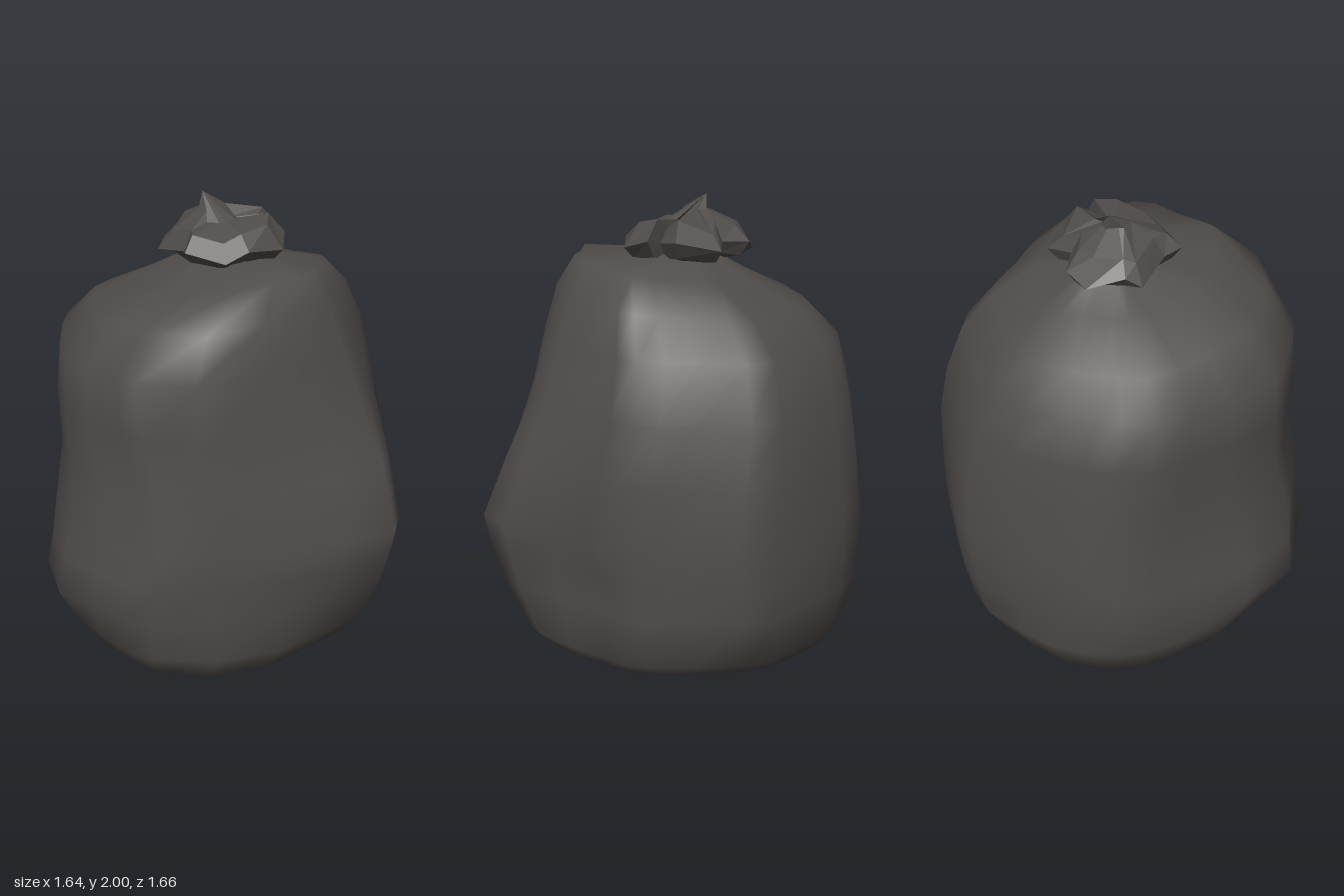
import * as THREE from 'three';

// Closed loft through rings of equal length, ordered counter-clockwise seen from above
function loft(rings, bottom, top, flat) {
  const n = rings[0].length;
  const pos = [...rings.flat(), bottom, top].flat();
  const bottomId = rings.length * n, topId = bottomId + 1;
  const last = (rings.length - 1) * n;
  const index = [];
  for (let j = 0; j < n; j++) {
    const k = (j + 1) % n;
    for (let i = 0; i < rings.length - 1; i++) {
      const a = i * n + j, b = i * n + k;
      index.push(a, b, b + n, a, b + n, a + n);
    }
    index.push(k, j, bottomId, last + j, last + k, topId);
  }
  let g = new THREE.BufferGeometry();
  g.setAttribute('position', new THREE.Float32BufferAttribute(pos, 3));
  g.setIndex(index);
  if (flat) g = g.toNonIndexed();
  g.computeVertexNormals();
  return g;
}

// Lumpy outline (x, z) of the sack at its fullest
const OUTLINE = [
  [0.82, -0.27], [0.74, -0.38], [0.55, -0.48], [0.39, -0.59], [0.34, -0.69], [0.22, -0.75],
  [0.06, -0.76], [-0.2, -0.83], [-0.36, -0.8], [-0.58, -0.62], [-0.69, -0.53], [-0.79, -0.4],
  [-0.81, -0.18], [-0.82, 0.02], [-0.81, 0.2], [-0.77, 0.31], [-0.67, 0.45], [-0.51, 0.54],
  [-0.34, 0.72], [-0.08, 0.83], [0.1, 0.78], [0.3, 0.73], [0.39, 0.67], [0.54, 0.45],
  [0.68, 0.2], [0.76, -0.04],
];

// Height, x range, z range, lumpiness, tilt towards +x, pleat depth
const SECTIONS = [
  [0.02, -0.66, 0.48, -0.53, 0.56, 0.2, -0.01, 0],
  [0.05, -0.78, 0.58, -0.64, 0.65, 0.3, 0, 0],
  [0.16, -0.80, 0.66, -0.79, 0.72, 0.45, 0, 0],
  [0.37, -0.82, 0.75, -0.825, 0.83, 0.9, 0, 0],
  [0.53, -0.82, 0.79, -0.83, 0.80, 1, 0, 0],
  [0.68, -0.82, 0.82, -0.83, 0.78, 1, 0, 0],
  [0.95, -0.81, 0.72, -0.82, 0.72, 0.7, 0, 0.01],
  [1.2, -0.79, 0.61, -0.77, 0.72, 0.4, 0, 0.015],
  [1.43, -0.74, 0.54, -0.69, 0.70, 0.25, 0.03, 0.02],
  [1.59, -0.61, 0.48, -0.57, 0.56, 0.15, 0.08, 0.03],
  [1.70, -0.41, 0.40, -0.42, 0.30, 0.1, 0.14, 0.05],
  [1.75, -0.25, 0.18, -0.24, 0.10, 0.1, 0.06, 0.07],
  [1.80, -0.16, 0.04, -0.13, 0.05, 0, 0, 0.08],
];

// Fullness of each corner, going from +x -z round to +x +z
const CORNERS = [0, -0.08, -0.1, 0.07];

function sackRing([y, x0, x1, z0, z1, lump, tilt, pleat]) {
  return OUTLINE.map(([ox, oz]) => {
    const t = Math.atan2(oz, ox), c = Math.cos(t), s = Math.sin(t);
    const corner = s < 0 ? (c > 0 ? 0 : 1) : (c < 0 ? 2 : 3);
    // rounded square blended with the lumpy outline
    const r = Math.pow(Math.abs(c) ** 2.5 + Math.abs(s) ** 2.5, -1 / 2.5)
      * (1 + CORNERS[corner] * Math.abs(Math.sin(2 * t)));
    const fold = 1 + pleat * (Math.cos(7 * t + 1) - 0.5);
    const u = THREE.MathUtils.lerp(c * r, ox / 0.82, lump) * fold;
    const v = THREE.MathUtils.lerp(s * r, oz / 0.83, lump) * fold;
    const x = (x0 + x1) / 2 + u * (x1 - x0) / 2;
    const z = (z0 + z1) / 2 + v * (z1 - z0) / 2;
    return [x, y + tilt * x, z];
  });
}

// Crumpled rim of the tied top (x, y, z)
const RIM = [
  [0.2, 1.8, -0.17], [0.11, 1.84, -0.26], [0.05, 1.82, -0.2], [0, 1.84, -0.31],
  [-0.19, 1.8, -0.3], [-0.21, 1.82, -0.18], [-0.33, 1.81, -0.14], [-0.36, 1.77, -0.04],
  [-0.27, 1.8, 0.09], [-0.24, 1.76, 0.15], [-0.05, 1.8, 0.16], [0.02, 1.82, 0.21],
  [0.15, 1.78, 0.1], [0.18, 1.82, 0],
];
const CREST = [1.9, 1.92, 1.88, 1.92, 1.86, 1.9, 1.88, 1.88, 1.86, 1.84, 1.88, 1.88, 1.85, 1.88];

function createKnot() {
  const cx = -0.08, cz = -0.04;
  const scaled = (k, height) => RIM.map(([x, y, z], i) =>
    [cx + (x - cx) * k, height(i), cz + (z - cz) * k]);
  return loft([
    scaled(0.45, () => 1.73),
    scaled(0.85, (i) => 1.75 + (i % 2) * 0.02),
    RIM,
    scaled(0.76, (i) => CREST[i]),
    scaled(0.3, (i) => (i > 3 && i < 11 ? 1.94 : 1.9)),
  ], [cx, 1.73, cz], [-0.16, 2, -0.03], true);
}

export function createModel() {
  const plastic = new THREE.MeshStandardMaterial({ color: 0x504c4a });
  plastic.name = 'charcoal plastic';

  const group = new THREE.Group();
  group.name = 'tiedSack';

  const sack = new THREE.Mesh(
    loft(SECTIONS.map(sackRing), [-0.12, 0, -0.2], [-0.07, 1.81, -0.04], false), plastic);
  sack.name = 'sack';

  const knot = new THREE.Mesh(createKnot(), plastic);
  knot.name = 'gatheredKnot';

  group.add(sack, knot);
  return group;
}
